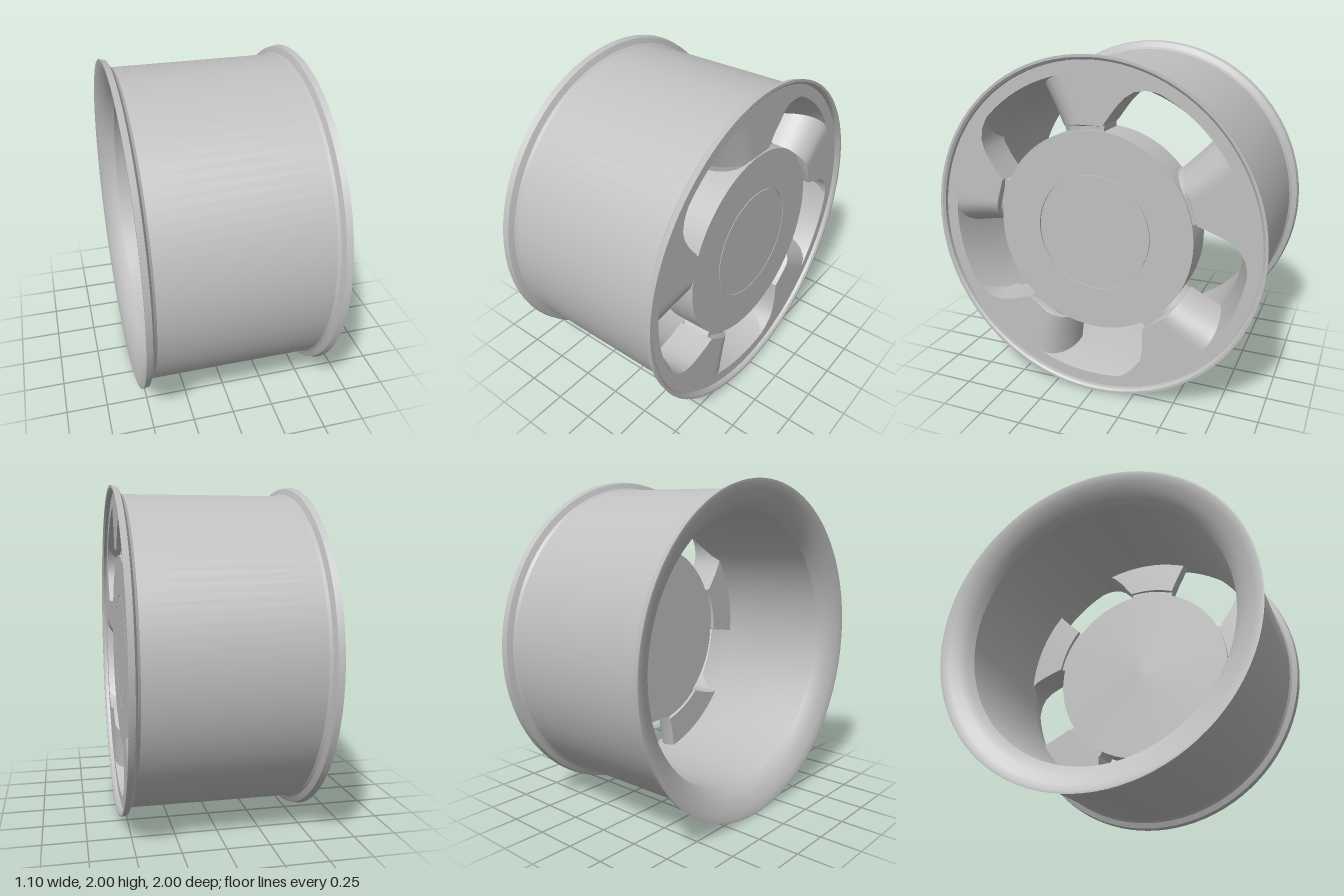
import * as THREE from 'three';
import { toCreasedNormals } from 'three/addons/utils/BufferGeometryUtils.js';

const metal = new THREE.MeshStandardMaterial({ color: 0xc0c0c0 });
metal.name = 'silver metal';

function mesh(name, geometry, crease) {
  const m = new THREE.Mesh(toCreasedNormals(geometry, crease), metal);
  m.name = name;
  return m;
}

// Solid of revolution around the x axis from [x, radius] pairs
function turned(name, profile) {
  const points = profile.map(([x, r]) => new THREE.Vector2(r, x));
  const g = new THREE.LatheGeometry(points, 96);
  g.rotateZ(-Math.PI / 2);
  return mesh(name, g, 0.4);
}

// Spoke lofted outwards from rows of [radius, right angle, bend angle, left angle];
// the front is flat, then rolls back to the rear on the left side
function loftSpoke(name, rows, front, back) {
  const flat = 10, bend = 10, pos = [], index = [];
  for (const [r, right, start, left] of rows) {
    const ring = [];
    for (let i = 0; i < flat; i++) ring.push([right + (start - right) * i / flat, front]);
    for (let i = 0; i <= bend; i++) {
      const a = (i / bend) * Math.PI / 2;
      ring.push([start + (left - start) * Math.sin(a), back + (front - back) * Math.cos(a)]);
    }
    for (let i = 1; i <= flat; i++) ring.push([left + (right - left) * i / flat, back]);
    for (const [t, x] of ring) pos.push(x, r * Math.cos(t), -r * Math.sin(t));
  }
  const n = flat * 2 + bend + 1;
  for (let j = 0; j < rows.length - 1; j++) {
    for (let i = 0; i < n; i++) {
      const p = j * n + i, q = j * n + (i + 1) % n;
      index.push(p, p + n, q, q, p + n, q + n);
    }
  }
  for (let i = 1; i < n - 1; i++) index.push(0, i, i + 1); // inner end
  const g = new THREE.BufferGeometry();
  g.setAttribute('position', new THREE.Float32BufferAttribute(pos, 3));
  g.setIndex(index);
  return mesh(name, g, 0.6);
}

export function createModel() {
  const wheel = new THREE.Group();
  wheel.name = 'wheelRim';

  // Barrel with a flange at each end, flared mouth behind and seat for the spokes in front
  wheel.add(turned('barrel', [
    [-0.55, 0.985], [-0.55, 1], [-0.515, 0.992], [-0.5, 0.96], [-0.485, 0.948],
    [0.485, 0.948], [0.5, 0.96], [0.515, 0.992], [0.55, 1], [0.55, 0.985],
    [0.54, 0.972], [0.52, 0.97], [0.52, 0.9], [0.3, 0.83],
    [-0.44, 0.83], [-0.475, 0.855], [-0.51, 0.895], [-0.535, 0.945], [-0.55, 0.985],
  ]));

  // Hub with a thin groove around the centre cap
  wheel.add(turned('hub', [
    [0.29, 0], [0.29, 0.59], [0.5, 0.59], [0.5, 0.343],
    [0.49, 0.343], [0.49, 0.337], [0.5, 0.337], [0.5, 0],
  ]));

  // Five spokes, each with a recessed collar at the hub
  const spokeRows = [
    [0.625, 0.113, -0.12, -0.38], [0.67, 0.15, -0.135, -0.385], [0.74, 0.2, -0.155, -0.39],
    [0.805, 0.25, -0.175, -0.4], [0.85, 0.3, -0.185, -0.405], [0.88, 0.365, -0.19, -0.41],
    [0.895, 0.42, -0.2, -0.41], [0.903, 0.47, -0.2, -0.41],
  ];
  const collarRows = [[0.57, 0.113, -0.14, -0.39], [0.64, 0.11, -0.14, -0.375]];
  for (let k = 0; k < 5; k++) {
    const spoke = new THREE.Group();
    spoke.name = 'spoke' + (k + 1);
    spoke.add(loftSpoke('spokeBlade', spokeRows, 0.52, 0.29));
    spoke.add(loftSpoke('spokeCollar', collarRows, 0.485, 0.31));
    spoke.rotation.x = k * Math.PI * 2 / 5;
    wheel.add(spoke);
  }

  wheel.position.y = 1;
  const model = new THREE.Group();
  model.name = 'model';
  model.add(wheel);
  return model;
}
